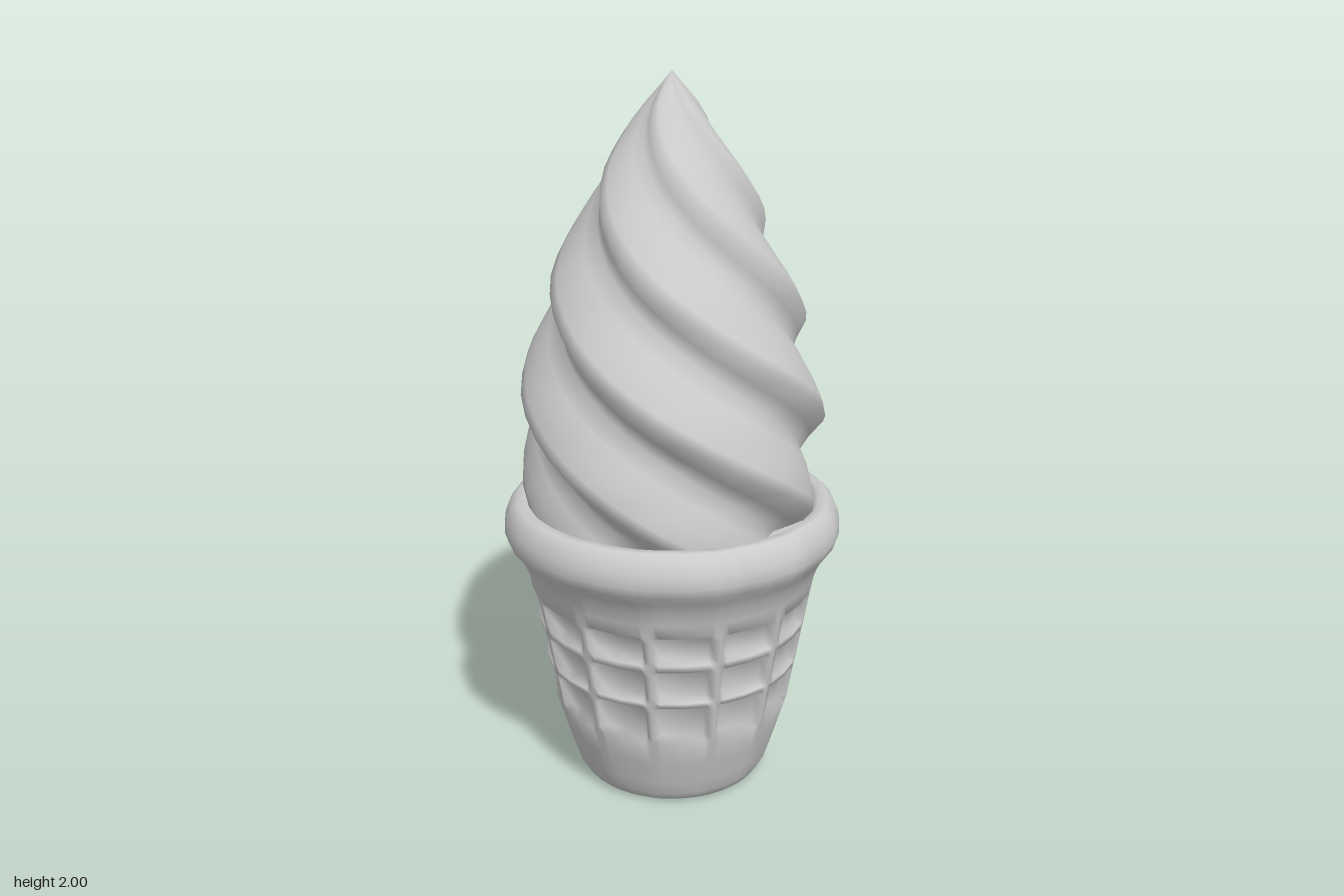
import * as THREE from 'three';
import { mergeVertices } from 'three/addons/utils/BufferGeometryUtils.js';

const material = new THREE.MeshStandardMaterial({ color: 0xcccccc, roughness: 0.8 });

// Drop seams so that normals run smoothly around the whole surface.
function smooth(geometry) {
  geometry.deleteAttribute('uv');
  geometry.deleteAttribute('normal');
  const merged = mergeVertices(geometry, 1e-5);
  merged.computeVertexNormals();
  return merged;
}

// Wafer cup: a lathe whose wall is pressed in to form rows of square pockets.
function createCup() {
  const columns = 13, firstRib = THREE.MathUtils.degToRad(7.5), depth = 0.024;
  const rows = [[0.235, 0.355], [0.37, 0.475], [0.495, 0.585]];
  const bevel = 0.017;
  const wall = (y) => 0.345 + (y - 0.25) * 0.172;

  const profile = [[0, 0], [0.245, 0], [0.265, 0.008], [0.282, 0.035], [0.297, 0.08], [0.318, 0.15]]
    .map(([r, y]) => new THREE.Vector2(r, y));
  const pressed = new Set();
  for (const [low, high] of rows) {
    for (const y of [low, low + bevel, high - bevel, high]) {
      if (y !== low && y !== high) pressed.add(profile.length);
      profile.push(new THREE.Vector2(wall(y), y));
    }
  }
  const rim = [[0.41, 0.625], [0.424, 0.665], [0.443, 0.7], [0.466, 0.73], [0.475, 0.758],
    [0.471, 0.79], [0.458, 0.822], [0.437, 0.842], [0.412, 0.842], [0.395, 0.825], [0.385, 0.79], [0, 0.79]];
  for (const [r, y] of rim) profile.push(new THREE.Vector2(r, y));

  // Angular stations across one pocket: [position, press amount]
  const stations = [[0, 0], [0.065, 0], [0.13, 1], [0.5, 1], [0.87, 1], [0.935, 0]];
  const n = stations.length;
  const geometry = new THREE.LatheGeometry(profile, columns * n);
  const position = geometry.attributes.position;
  for (let i = 0; i < position.count; i++) {
    const segment = Math.floor(i / profile.length) % (columns * n);
    const row = i % profile.length;
    const column = Math.floor(segment / n);
    const [offset, press] = stations[segment % n];
    const angle = firstRib + (column + offset) / columns * Math.PI * 2;
    // One pocket, on the side seam, fades out half way.
    const fade = column === 3 && offset > 0.6 ? 0 : 1;
    const r = profile[row].x - (pressed.has(row) ? depth * press * fade : 0);
    position.setXYZ(i, r * Math.sin(angle), profile[row].y, r * Math.cos(angle));
  }
  return new THREE.Mesh(smooth(geometry), material);
}

// Soft ice: a five-lobed section that twists as it tapers to the tip.
function createSwirl() {
  const lobes = 5, ridgeSpacing = 0.31, ridgeHeight = 1.4, rings = 30;
  const outline = [[0.8, 0.4], [0.88, 0.418], [1.0, 0.427], [1.15, 0.42], [1.28, 0.392], [1.47, 0.33],
    [1.64, 0.25], [1.75, 0.19], [1.9, 0.088], [2, 0]];
  // One lobe: [position, share of the ridge radius], ridge first
  const lobe = [[0, 1], [0.12, 0.985], [0.3, 0.945], [0.5, 0.89], [0.68, 0.83], [0.84, 0.895]];
  const radiusAt = (y) => {
    const k = Math.max(1, outline.findIndex((p) => p[0] >= y - 1e-6));
    const [y0, r0] = outline[k - 1], [y1, r1] = outline[k];
    return r0 + (r1 - r0) * (y - y0) / (y1 - y0);
  };

  const count = lobes * lobe.length;
  const points = [], index = [];
  for (let j = 0; j <= rings; j++) {
    const y = 0.8 + 1.2 * j / rings;
    const twist = (ridgeHeight - y) / ridgeSpacing;
    const radius = radiusAt(y);
    for (let i = 0; i < count; i++) {
      const [offset, share] = lobe[i % lobe.length];
      const angle = (twist + Math.floor(i / lobe.length) + offset) / lobes * Math.PI * 2;
      points.push(radius * share * Math.sin(angle), y, radius * share * Math.cos(angle));
      if (j === rings) continue;
      const a = j * count + i, b = j * count + (i + 1) % count;
      index.push(a, b, b + count);
      if (j < rings - 1) index.push(a, b + count, a + count);
    }
  }
  const geometry = new THREE.BufferGeometry();
  geometry.setAttribute('position', new THREE.Float32BufferAttribute(points, 3));
  geometry.setIndex(index);
  return new THREE.Mesh(smooth(geometry), material);
}

export function createModel() {
  const group = new THREE.Group();
  group.name = 'iceCreamCone';
  const cup = createCup();
  cup.name = 'waferCup';
  const swirl = createSwirl();
  swirl.name = 'iceCreamSwirl';
  group.add(cup, swirl);
  return group;
}
